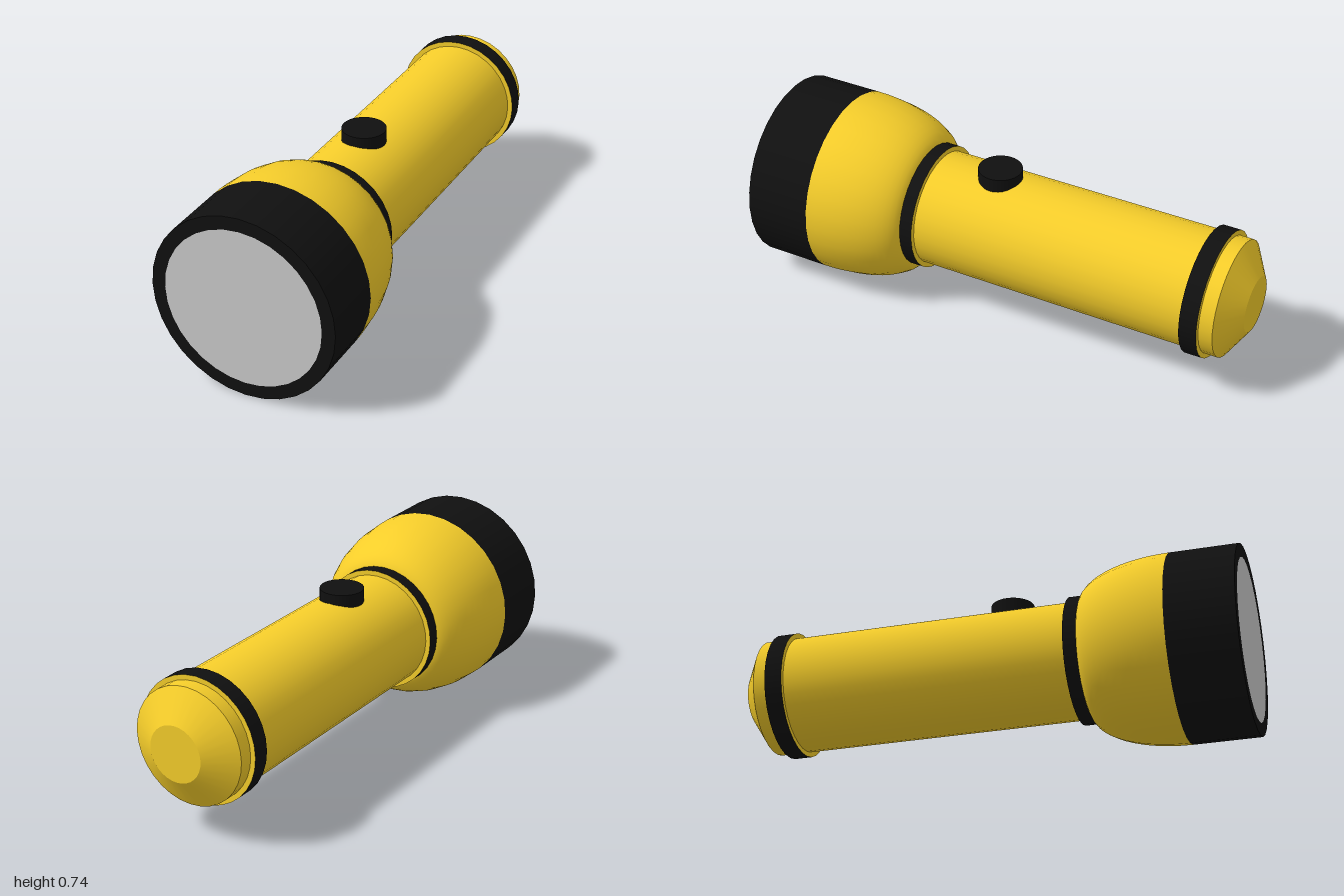
import * as THREE from 'three';

const AXIS_Y = 0.368; // height of the torch's long axis
const yellow = new THREE.MeshStandardMaterial({ color: 0xf5cd2a });
const black = new THREE.MeshStandardMaterial({ color: 0x101010 });
const grey = new THREE.MeshStandardMaterial({ color: 0xcccccc });

// Surface turned about the z axis; profile is [radius, z], running back to front
function turned(name, profile, material) {
  const points = profile.map(([r, z]) => new THREE.Vector2(r, z));
  const geometry = new THREE.LatheGeometry(points, 32).rotateX(Math.PI / 2);
  const mesh = new THREE.Mesh(geometry, material);
  mesh.name = name;
  mesh.position.y = AXIS_Y;
  return mesh;
}

// Raised band: black outer face, yellow shoulders
function band(name, z0, z1) {
  const group = new THREE.Group();
  group.name = name;
  group.add(
    turned(name + 'Face', [[0.25, z0], [0.25, z1]], black),
    turned(name + 'BackShoulder', [[0.225, z0], [0.25, z0]], yellow),
    turned(name + 'FrontShoulder', [[0.25, z1], [0.225, z1]], yellow)
  );
  return group;
}

export function createModel() {
  const torch = new THREE.Group();
  torch.name = 'torch';

  // Handle with a tapered tail cap
  torch.add(
    turned('tailDisc', [[0, -1], [0.11, -1]], yellow),
    turned('tailTaper', [[0.11, -1], [0.23, -0.925]], yellow),
    turned('handle', [[0.23, -0.925], [0.23, 0.38]], yellow),
    band('tailBand', -0.87, -0.8),
    band('neckBand', 0.328, 0.38)
  );

  // Bell-shaped head, a quarter ellipse in section
  const bell = [];
  for (let i = 0; i <= 14; i++) {
    const a = (i / 14) * Math.PI / 2;
    bell.push([0.228 + 0.14 * Math.sin(a), 0.735 - 0.36 * Math.cos(a)]);
  }
  torch.add(turned('bell', bell, yellow));

  // Bezel and lens
  torch.add(
    turned('bezelSide', [[0.368, 0.735], [0.368, 1]], black),
    turned('bezelFront', [[0.368, 1], [0.315, 1]], black),
    turned('lens', [[0.315, 1], [0, 1]], grey)
  );

  // Switch button sunk into the top of the handle
  const button = new THREE.Mesh(new THREE.CylinderGeometry(0.086, 0.086, 0.08, 32), black);
  button.name = 'button';
  button.position.set(0, 0.597, 0.068);
  torch.add(button);

  return torch;
}
